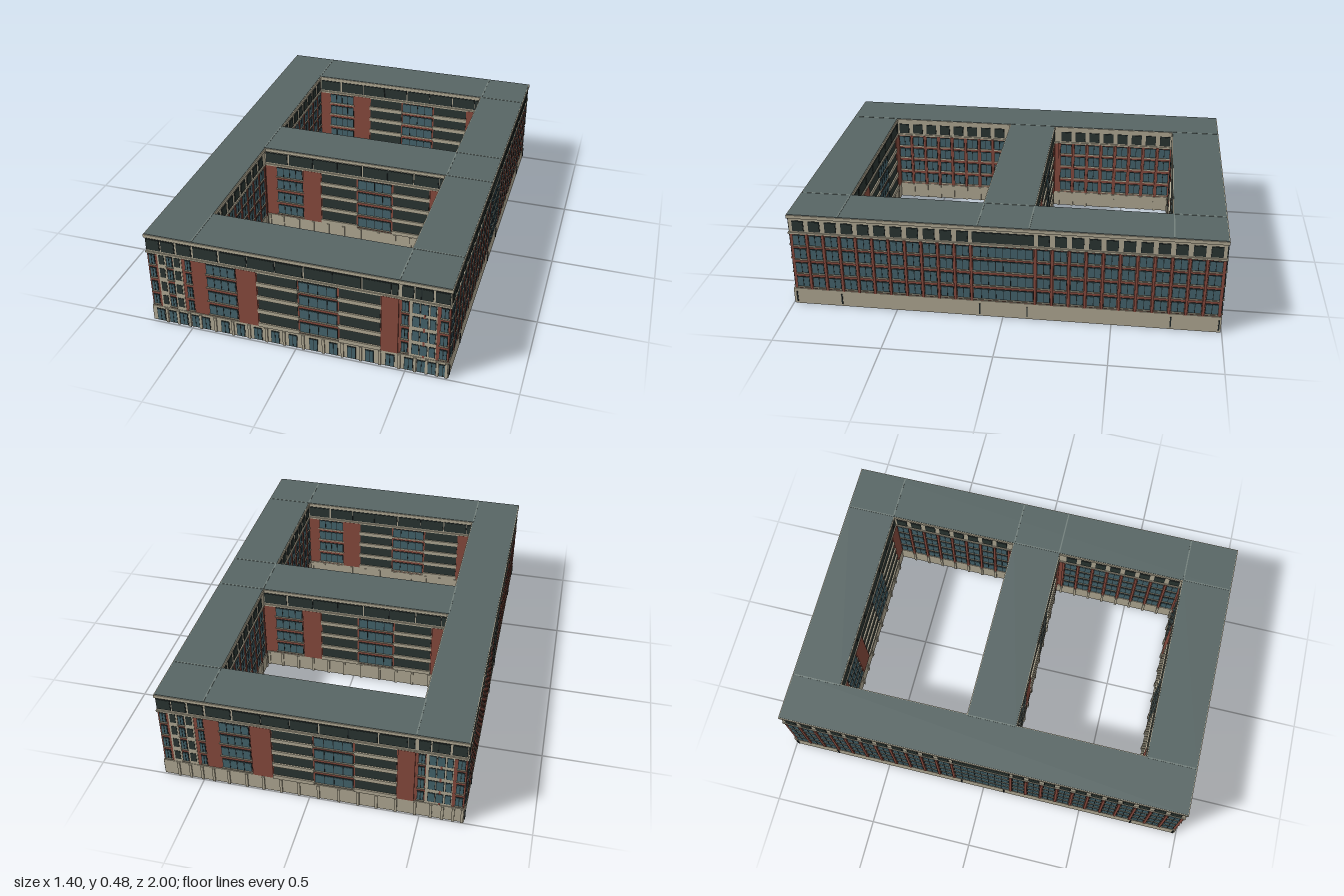
import * as THREE from 'three';
import { mergeGeometries } from 'three/addons/utils/BufferGeometryUtils.js';

const mat = (name, color) => {
  const m = new THREE.MeshStandardMaterial({ color });
  m.name = name;
  return m;
};
const brick = mat('brick', 0x8a4c3f);
const stone = mat('stone', 0xb5ad97);
const glass = mat('blue glass', 0x46666f);
const dark = mat('dark glass', 0x2b3633);
const frame = mat('window frame', 0x222a2b);
const roofMat = mat('roof', 0x586665);
const seamMat = mat('roof seam', 0x74817d);

// Half sizes of the block, its courtyards and the heights of its layers
const HX = 0.69, HZ = 0.988, IX = 0.468, WZ = 0.755, MZ = 0.117;
const BASE = 0.082, BAND = 0.377, TOP = 0.475;
const FLOORS = [0.097, 0.172, 0.247, 0.319];

function box(x0, x1, y0, y1, z0, z1) {
  return new THREE.BoxGeometry(x1 - x0, y1 - y0, z1 - z0)
    .translate((x0 + x1) / 2, (y0 + y1) / 2, (z0 + z1) / 2);
}

// Collects flat boxes by part name and merges each part into one mesh
function collector(name) {
  const parts = new Map();
  return {
    add(part, material, geometry) {
      if (!parts.has(part)) parts.set(part, { material, list: [] });
      parts.get(part).list.push(geometry);
    },
    build() {
      const group = new THREE.Group();
      group.name = name;
      for (const [part, { material, list }] of parts) {
        const mesh = new THREE.Mesh(mergeGeometries(list), material);
        mesh.name = part;
        group.add(mesh);
      }
      return group;
    },
  };
}

// A facade drawn on z = 0 facing +z; keep(u) tells which stretch of wall is exposed
function facade(name, keep, draw) {
  const c = collector(name);
  const put = (part, m, u0, u1, y0, y1, d) => {
    if (keep((u0 + u1) / 2)) c.add(part, m, box(u0, u1, y0, y1, -0.002, d));
  };
  const blueWindow = (u0, u1, y0, y1, panes) => {
    put('windowFrames', frame, u0 - 0.003, u1 + 0.003, y0 - 0.003, y1 + 0.003, 0.003);
    put('windowGlass', glass, u0, u1, y0, y1, 0.005);
    for (let i = 1; i < panes; i++) {
      const u = u0 + (u1 - u0) * i / panes;
      put('mullions', frame, u - 0.0015, u + 0.0015, y0, y1, 0.0065);
    }
  };
  const darkWindow = (u0, u1, y0, y1) => {
    put('topFrames', frame, u0 - 0.003, u1 + 0.003, y0 - 0.003, y1 + 0.003, 0.002);
    put('darkGlass', dark, u0, u1, y0, y1, 0.004);
  };
  draw({ put, blueWindow, darkWindow });
  return c.build();
}

// Short wall: stair grids at the ends, glazed bays and brick panels between
const topWindows = [
  [-.687, -.626], [-.615, -.555], [-.54, -.475], [-.46, -.35], [-.336, -.215],
  [-.207, -.087], [-.079, .041], [.053, .174], [.181, .302], [.313, .43],
  [.438, .462], [.483, .528], [.54, .562], [.567, .611], [.626, .683],
];
const doors = [-.653, -.592, -.54, -.48, -.43, -.336, -.26, -.177, -.095, -.011,
  .085, .177, .26, .343, .434, .517, .574, .62, .67];

function wingFacade(name, keep, hasDoors) {
  return facade(name, keep, ({ put, blueWindow, darkWindow }) => {
    topWindows.forEach(([a, b]) => darkWindow(a, b, 0.394, 0.447));
    // Brick panels
    for (const [a, b] of [[-.265, -.17], [.392, .468]])
      put('brickPanels', brick, a, b, BASE, BAND, 0.006);
    // Stone surrounds of the stair grids
    for (const [a, b] of [[-.642, -.6], [-.567, -.525], [.515, .634]])
      put('stairSurrounds', stone, a, b, BASE, BAND, 0.002);
    put('brickStrips', brick, .576, .584, BASE, BAND, 0.004);
    for (const y of FLOORS) {
      // Wide dark bays with stone spandrels
      for (const [a, b] of [[-.166, .016], [.206, .388]]) {
        put('bayGlass', dark, a, b, y + 0.006, y + 0.057, 0.003);
        put('baySpandrels', stone, a - 0.004, b + 0.004, y - 0.014, y + 0.006, 0.01);
      }
      // Wide blue bays
      for (const [a, b] of [[-.404, -.272], [.026, .194]]) {
        blueWindow(a, b, y, y + 0.048, 4);
        put('sills', stone, a - 0.008, b + 0.008, y - 0.008, y - 0.002, 0.007);
      }
      // Narrow windows near the ends
      for (const [a, b] of [[-.68, -.656], [-.595, -.572], [-.505, -.484],
        [.484, .508], [.652, .68]]) {
        blueWindow(a, b, y, y + 0.048, 2);
        put('sills', stone, a - 0.006, b + 0.006, y - 0.008, y - 0.002, 0.007);
      }
      for (const [a, b] of [[-.634, -.608], [-.56, -.532]])
        put('stairGlass', dark, a, b, y + 0.004, y + 0.053, 0.004);
      for (const [a, b] of [[.53, .557], [.565, .594], [.606, .628]])
        blueWindow(a, b, y, y + 0.05, 1);
    }
    // Ground floor
    doors.forEach((u, i) => {
      if (hasDoors) {
        put('doorFrames', frame, u - 0.02, u + 0.02, 0.004, 0.069, 0.006);
        put('doorGlass', glass, u - 0.017, u + 0.017, 0.006, 0.066, 0.008);
        put('doorBars', frame, u - 0.001, u + 0.001, 0.006, 0.066, 0.0095);
      }
      const next = i + 1 < doors.length ? doors[i + 1] : u + 0.03;
      const m = (u + next) / 2;
      put('basePilasters', stone, m - 0.006, m + 0.006, 0, 0.079, 0.01);
    });
  });
}

// Long wall: a regular rhythm of windows around a wide middle bay
function sideFacade(name, keep, outer) {
  return facade(name, keep, ({ put, blueWindow, darkWindow }) => {
    for (const s of [-1, 1]) {
      for (let i = 0; i < 11; i++) {
        const u = s * (0.944 - 0.076 * i);
        darkWindow(u - 0.024, u + 0.024, 0.392, 0.44);
        for (const y of FLOORS) {
          blueWindow(u - 0.027, u + 0.027, y, y + 0.048, 2);
          put('sills', stone, u - 0.03, u + 0.03, y - 0.009, y - 0.003, 0.007);
        }
        const p = u - s * 0.038;
        put('piers', brick, p - 0.006, p + 0.006, BASE, BAND, 0.008);
        if (!outer) put('basePilasters', stone, p - 0.006, p + 0.006, 0, 0.079, 0.01);
      }
      // Downpipes on the base
      if (outer) for (const u of [0.11, 0.765, 0.982])
        put('downpipes', frame, s * u - 0.003, s * u + 0.003, 0.012, 0.066, 0.008);
    }
    darkWindow(-0.137, 0.137, 0.392, 0.44);
    for (const y of FLOORS) {
      blueWindow(-0.135, 0.135, y, y + 0.048, 8);
      put('sills', stone, -0.14, 0.14, y - 0.009, y - 0.003, 0.007);
    }
  });
}

export function createModel() {
  const model = new THREE.Group();
  model.name = 'courtyardBuilding';
  const shell = collector('shell');

  // Solid wings: two long sides and three cross wings
  const wings = [
    [-HX, -IX, -HZ, HZ, 1], [IX, HX, -HZ, HZ, 1],
    [-IX, IX, WZ, HZ, 0], [-IX, IX, -MZ, MZ, 0], [-IX, IX, -HZ, -WZ, 0],
  ];
  for (const [x0, x1, z0, z1, side] of wings) {
    const layer = (part, m, y0, y1, o) =>
      shell.add(part, m, box(x0 - o * side, x1 + o * side, y0, y1, z0 - o, z1 + o));
    layer('base', stone, 0, BASE, 0.004);
    layer('brickWalls', brick, BASE, BAND, 0);
    layer('topBand', stone, BAND, 0.457, 0);
    layer('bandLedge', stone, BAND - 0.003, BAND + 0.006, 0.005);
    layer('cornice', stone, 0.455, 0.471, 0.006);
    layer('roof', roofMat, 0.468, 0.4735, 0.002);
  }

  // Roof seams where the wings meet
  for (const s of [-1, 1]) {
    for (const [z0, z1] of [[-HZ, -WZ], [-MZ, MZ], [WZ, HZ]])
      shell.add('roofSeams', seamMat, box(s * IX - 0.003, s * IX + 0.003, 0.47, TOP, z0, z1));
    for (const z of [WZ, MZ])
      shell.add('roofSeams', seamMat, box(IX, HX, 0.47, TOP, s * z - 0.003, s * z + 0.003));
  }

  // Brick areas of the underside
  for (const [x0, x1, z0, z1] of [[-HX, -0.58, -HZ, HZ], [-0.58, 0.35, -HZ, -0.87],
    [-0.58, 0.2, -MZ, 0]])
    shell.add('undersideBrick', brick, box(x0, x1, -0.001, 0.003, z0, z1));
  model.add(shell.build());

  const place = (group, x, z, turn) => {
    group.position.set(x, 0, z);
    group.rotation.y = turn;
    model.add(group);
  };
  const all = () => true;
  const inner = (u) => Math.abs(u) < IX - 0.002;
  const court = (u) => Math.abs(u) > MZ + 0.02 && Math.abs(u) < WZ - 0.015;

  // Cross wing walls, the backs being the fronts turned half round
  place(wingFacade('frontWall', all, true), 0, HZ, 0);
  place(wingFacade('backWall', all, false), 0, -HZ, Math.PI);
  for (const z of [MZ, -WZ]) place(wingFacade('courtWallFront', inner, false), 0, z, 0);
  for (const z of [WZ, -MZ]) place(wingFacade('courtWallBack', inner, false), 0, z, Math.PI);

  // Long outer walls and the courtyard walls behind them
  for (const s of [-1, 1]) {
    place(sideFacade('sideWall', all, true), s * HX, 0, s * Math.PI / 2);
    place(sideFacade('courtSideWall', court, false), s * IX, 0, -s * Math.PI / 2);
  }

  model.position.set(-0.004, 0.001, -0.003);
  const root = new THREE.Group();
  root.name = 'building';
  root.add(model);
  return root;
}
